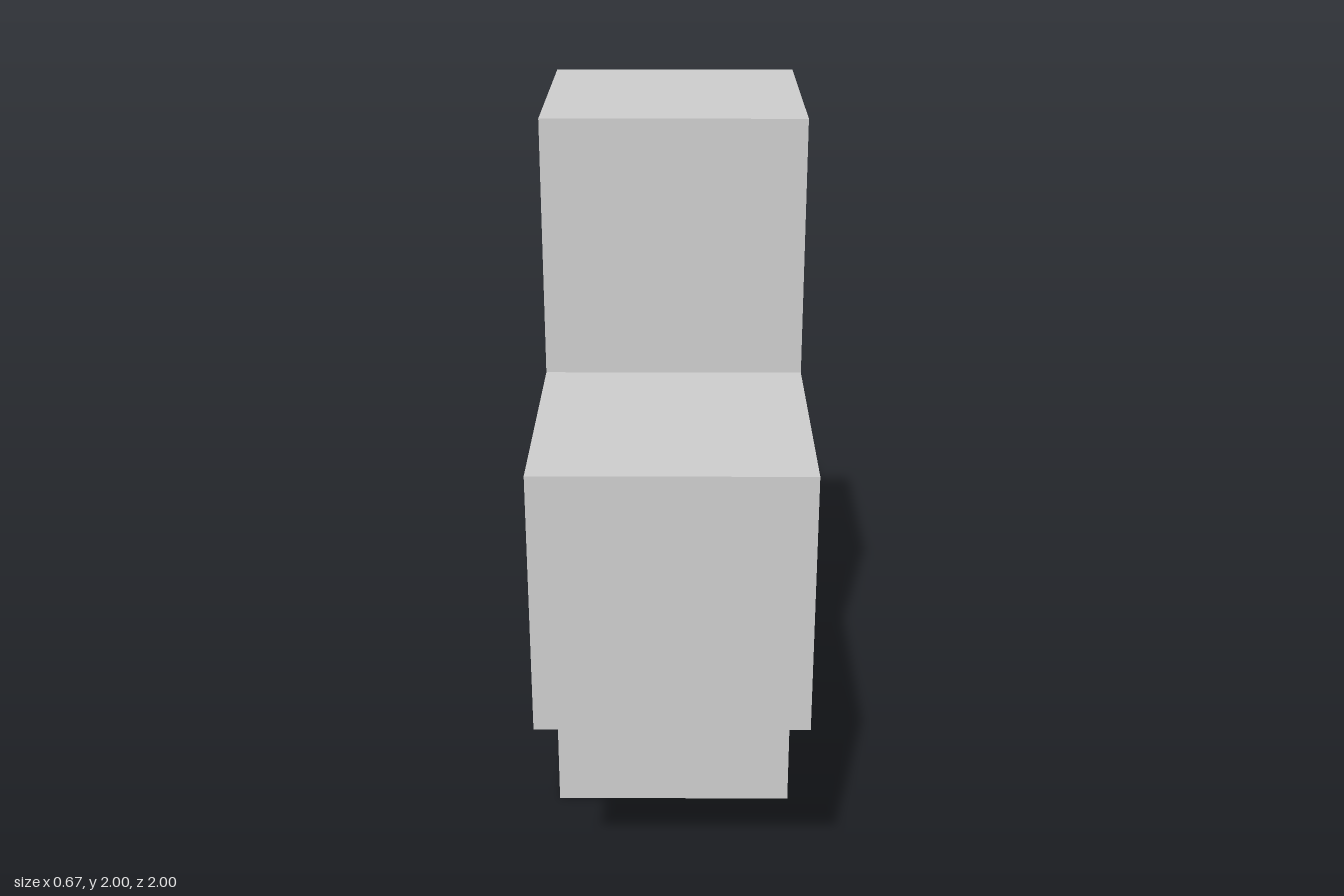
import * as THREE from 'three';

// Solid plus-shaped block: a cross outline in the y-z plane, extruded along x.
export function createModel() {
  const group = new THREE.Group();
  group.name = 'crossBlock';

  const reach = 1;      // centre to arm end
  const half = 1 / 3;   // half the arm width

  // One quarter of the outline, turned four times about the centre
  const points = [];
  for (let i = 0; i < 4; i++) {
    const angle = (i * Math.PI) / 2;
    for (const [x, y] of [[reach, -half], [reach, half], [half, half]]) {
      points.push(new THREE.Vector2(x, y).rotateAround(new THREE.Vector2(), angle));
    }
  }

  const geometry = new THREE.ExtrudeGeometry(new THREE.Shape(points), {
    depth: 2 * half,
    bevelEnabled: false,
  });
  geometry.translate(0, 0, -half);
  geometry.rotateY(Math.PI / 2);
  geometry.translate(0, reach, 0);

  const material = new THREE.MeshStandardMaterial({ color: 0xcccccc, flatShading: true });
  const cross = new THREE.Mesh(geometry, material);
  cross.name = 'cross';
  group.add(cross);
  return group;
}
